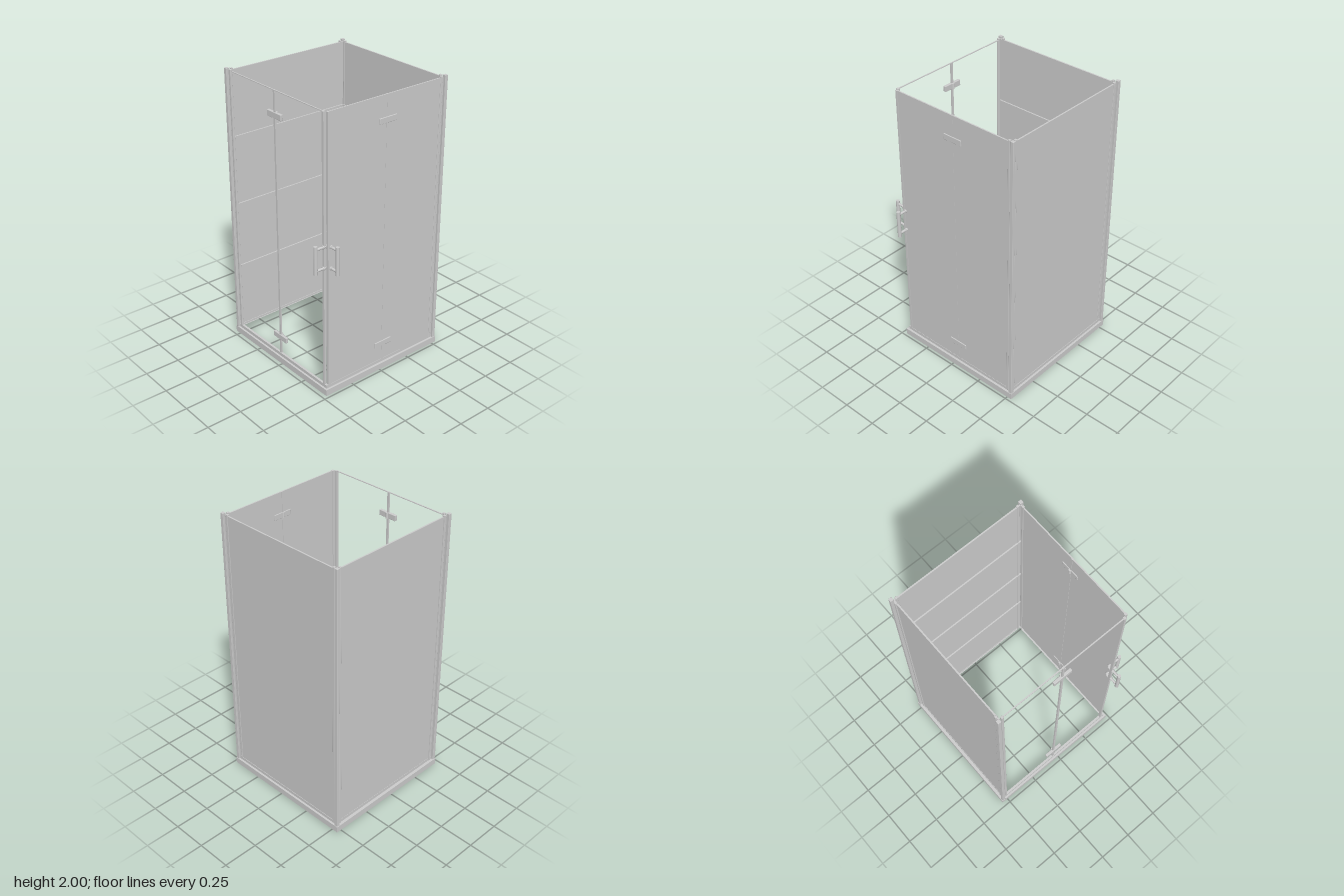
import * as THREE from 'three';
import { RoundedBoxGeometry } from 'three/addons/geometries/RoundedBoxGeometry.js';

const mat = new THREE.MeshStandardMaterial({ color: 0xcccccc });

// Box given by its minimum and maximum corners
function box(parent, name, x0, x1, y0, y1, z0, z1, round = 0) {
  const w = x1 - x0, h = y1 - y0, d = z1 - z0;
  const geo = round ? new RoundedBoxGeometry(w, h, d, 2, round) : new THREE.BoxGeometry(w, h, d);
  const mesh = new THREE.Mesh(geo, mat);
  mesh.position.set((x0 + x1) / 2, (y0 + y1) / 2, (z0 + z1) / 2);
  mesh.name = name;
  parent.add(mesh);
  return mesh;
}

function rod(parent, name, radius, length, x, y, z, alongX = false) {
  const mesh = new THREE.Mesh(new THREE.CylinderGeometry(radius, radius, length, 20), mat);
  mesh.position.set(x, y, z);
  if (alongX) mesh.rotation.z = Math.PI / 2;
  mesh.name = name;
  parent.add(mesh);
}

// Rectangular ring lying flat, extruded upwards
function ring(parent, name, x0, x1, z0, z1, width, y0, y1) {
  const rect = (s, a, b, c, d) => s.moveTo(a, -c).lineTo(b, -c).lineTo(b, -d).lineTo(a, -d).closePath();
  const shape = new THREE.Shape();
  rect(shape, x0, x1, z0, z1);
  const hole = new THREE.Path();
  rect(hole, x0 + width, x1 - width, z0 + width, z1 - width);
  shape.holes.push(hole);
  const geo = new THREE.ExtrudeGeometry(shape, { depth: y1 - y0, bevelEnabled: false });
  geo.rotateX(-Math.PI / 2);
  const mesh = new THREE.Mesh(geo, mat);
  mesh.position.y = y0;
  mesh.name = name;
  parent.add(mesh);
}

// Pull handle reaching out along +x, centred on z = 0
function pullHandle(name) {
  const g = new THREE.Group();
  g.name = name;
  rod(g, 'grip', 0.013, 0.2, 0.53, 1.02, 0);
  for (const y of [0.945, 1.095]) {
    rod(g, 'standoff', 0.009, 0.09, 0.485, y, 0, true);
    rod(g, 'standoffCollar', 0.013, 0.01, 0.472, y, 0, true);
    rod(g, 'innerKnob', 0.013, 0.022, 0.443, y, 0, true);
  }
  return g;
}

export function createModel() {
  const model = new THREE.Group();
  model.name = 'showerEnclosure';
  const TOP = 1.985;

  // Base frame and the slimmer rail standing on it
  ring(model, 'baseFrame', -0.546, 0.48, -0.535, 0.47, 0.033, 0, 0.045);
  ring(model, 'bottomRail', -0.525, 0.464, -0.52, 0.456, 0.016, 0.045, 0.068);

  // Corner posts with a wall profile along each adjoining panel
  for (const [x, z] of [[-0.53, -0.52], [0.465, -0.52], [-0.53, 0.457]]) {
    const post = new THREE.Group();
    post.name = 'cornerPost';
    const sx = -Math.sign(x), sz = -Math.sign(z);
    const column = (name, cx, cz, r, top) =>
      box(post, name, cx - r, cx + r, 0.045, top, cz - r, cz + r, 0.002);
    column('postCore', x, z, 0.012, 2);
    column('profileAlongX', x + sx * 0.032, z + sz * 0.008, 0.008, 1.995);
    column('profileAlongZ', x + sx * 0.008, z + sz * 0.032, 0.008, 1.995);
    model.add(post);
  }

  // Meeting edges of the two doors at the front right corner
  box(model, 'frontDoorEdge', 0.428, 0.444, 0.05, TOP, 0.438, 0.456);
  box(model, 'sideDoorEdge', 0.448, 0.466, 0.05, TOP, 0.424, 0.44);

  // Glass panels; the front is left clear
  box(model, 'backGlass', -0.52, 0.46, 0.05, TOP, -0.517, -0.507);
  box(model, 'leftGlass', -0.523, -0.513, 0.05, TOP, -0.51, 0.45);
  box(model, 'rightFixedGlass', 0.453, 0.462, 0.05, TOP, -0.51, -0.04);
  box(model, 'rightDoorGlass', 0.453, 0.462, 0.05, TOP, -0.03, 0.44);
  box(model, 'frontTopEdge', -0.5, 0.44, TOP - 0.005, TOP, 0.443, 0.451);

  // Glazing bars on the inside of the back and left panels
  for (const y of [0.545, 1.025, 1.52]) {
    box(model, 'backGlazingBar', -0.513, 0.452, y - 0.006, y + 0.006, -0.507, -0.497);
    box(model, 'leftGlazingBar', -0.513, -0.503, y - 0.006, y + 0.006, -0.507, 0.445);
  }

  // Door joints and the hinges across them
  box(model, 'frontDoorSeal', -0.045, -0.03, 0.05, TOP, 0.441, 0.452);
  box(model, 'sideDoorSeal', 0.45, 0.463, 0.05, TOP, -0.041, -0.029);
  for (const y of [0.196, 1.82]) {
    box(model, 'frontHinge', -0.107, 0.032, y - 0.02, y + 0.02, 0.437, 0.457, 0.003);
    box(model, 'sideHinge', 0.448, 0.468, y - 0.02, y + 0.02, -0.11, 0.032, 0.003);
    rod(model, 'frontHingePin', 0.01, 0.04, -0.037, y, 0.437);
    rod(model, 'sideHingePin', 0.01, 0.04, 0.449, y, -0.037);
  }

  // Handles on the side door and the front door
  const sideHandle = pullHandle('sideHandle');
  sideHandle.position.z = 0.417;
  const frontHandle = pullHandle('frontHandle');
  frontHandle.rotation.y = -Math.PI / 2;
  frontHandle.position.set(0.438, 0, -0.012);
  model.add(sideHandle, frontHandle);

  return model;
}
